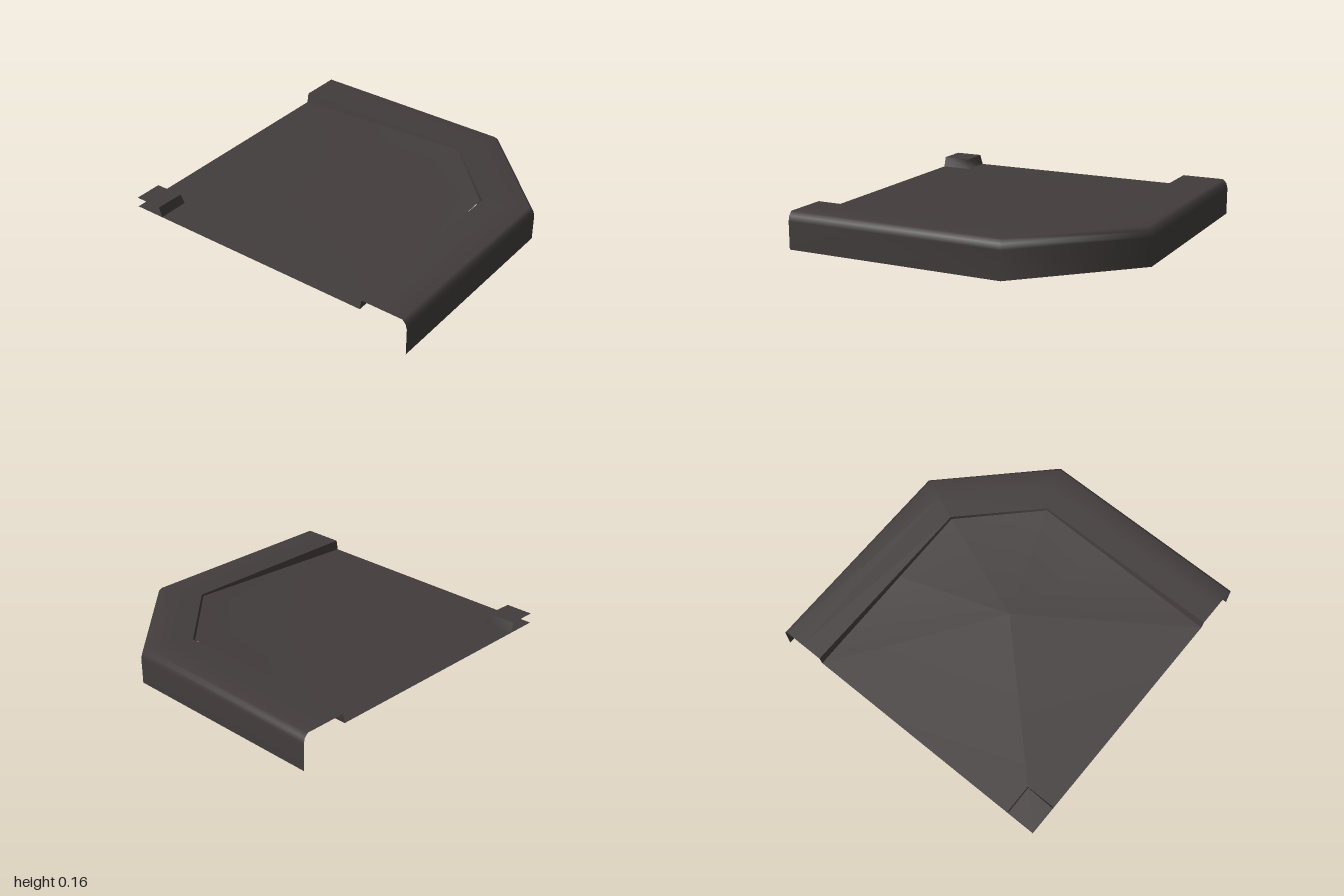
import * as THREE from 'three';

const ROAD_Y = 0.115, TOP_Y = 0.16;

// Indexed smooth surface from points and triangles
function surface(name, points, index, material) {
  const g = new THREE.BufferGeometry();
  g.setAttribute('position', new THREE.Float32BufferAttribute(points.flat(), 3));
  g.setIndex(index);
  g.computeVertexNormals();
  const mesh = new THREE.Mesh(g, material);
  mesh.name = name;
  return mesh;
}

// Four mitred corners of the kerb path, inset d from the outer edge
function station(d, y) {
  const e = d * Math.SQRT1_2, bend = 0.31 - d * (Math.SQRT2 - 1);
  return [
    [0.155 - e, y, 1 - e], [0.845 - d, y, bend],
    [0.845 - d, y, -bend], [0.155 - e, y, -1 + e],
  ];
}

// Joins rows of equally many points
function loft(name, rows, material) {
  const n = rows[0].length, index = [];
  for (let r = 0; r < rows.length - 1; r++) {
    for (let i = 0; i < n - 1; i++) {
      const a = r * n + i, b = a + n;
      index.push(a, a + 1, b, a + 1, b + 1, b);
    }
  }
  return surface(name, rows.flat(), index, material);
}

export function createModel() {
  const group = new THREE.Group();
  const asphalt = new THREE.MeshStandardMaterial({ color: 0x423d3c, side: THREE.DoubleSide });
  asphalt.name = 'dark asphalt';

  // Road bed, flat and rising gently to the outer bend
  const road = [
    [-0.845, ROAD_Y, 0], [0, ROAD_Y, 0.845], [0.37, 0.138, 0.475], [0.625, 0.155, 0.219],
    [0.625, 0.155, -0.219], [0.37, 0.138, -0.475], [0, ROAD_Y, -0.845], [0.15, ROAD_Y, 0],
  ];
  const fan = [];
  for (let i = 0; i < 7; i++) fan.push(7, i, (i + 1) % 7);
  group.add(surface('roadBed', road, fan, asphalt));

  // Outer kerb: skirt, rounded shoulder and flat top
  const profile = [[0, 0], [0, 0.12], [0.006, 0.143], [0.022, TOP_Y], [0.11, TOP_Y], [0.212, TOP_Y]];
  group.add(loft('outerKerb', profile.map(([d, y]) => station(d, y)), asphalt));

  // Sloping inner face of the outer kerb
  group.add(loft('outerKerbInnerFace', [station(0.212, TOP_Y), station(0.22, ROAD_Y)], asphalt));

  // Small kerb at the inside corner
  const topEdge = [[-0.755, TOP_Y, -0.09], [-0.66, TOP_Y, 0], [-0.755, TOP_Y, 0.09]];
  const footEdge = [[-0.745, ROAD_Y, -0.1], [-0.645, ROAD_Y, 0], [-0.745, ROAD_Y, 0.1]];
  group.add(surface('innerKerbTop', [[-0.845, TOP_Y, 0], ...topEdge], [0, 2, 1, 0, 3, 2], asphalt));
  group.add(loft('innerKerbFace', [footEdge, topEdge].map((row) => row.slice().reverse()), asphalt));
  return group;
}
